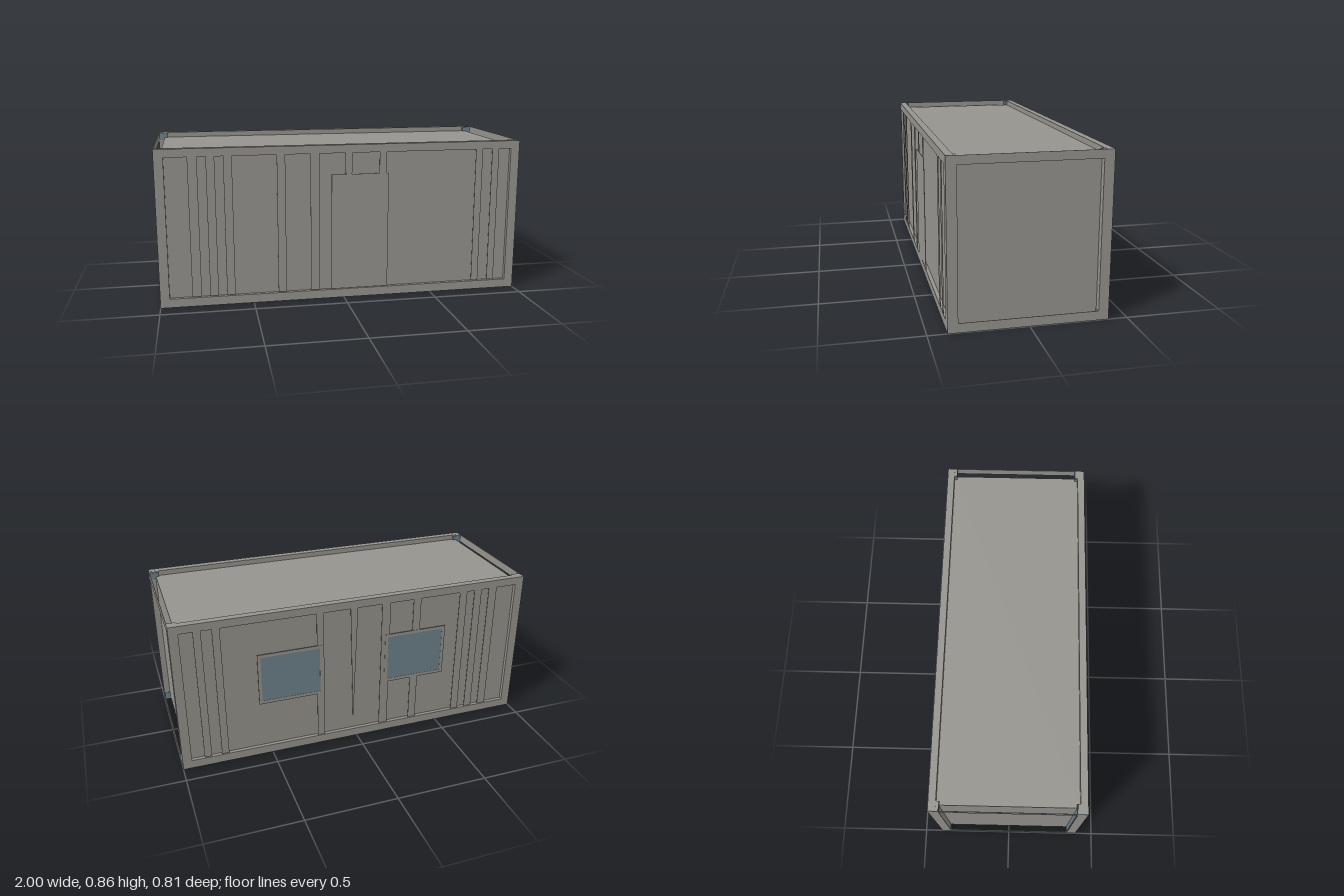
import * as THREE from 'three';

export function createModel() {
  const root = new THREE.Group();
  root.name = 'containerCabin';
  const grey = new THREE.MeshStandardMaterial({ color: 0x97958f });
  grey.name = 'warm grey';
  const blue = new THREE.MeshStandardMaterial({ color: 0x70838e });
  blue.name = 'glass blue';

  const H = 0.855, Z = 0.402, WALL_X = 0.965, RAIL_Z = 0.363, WALL_Z = 0.382;
  const LOW = 0.048, HIGH = 0.811, SHEET = 0.002;

  const add = (name, geometry, material) => {
    const mesh = new THREE.Mesh(geometry, material);
    mesh.name = name;
    root.add(mesh);
    return mesh;
  };
  // Box given by its minimum and maximum on each axis
  const box = (name, x0, x1, y0, y1, z0, z1, material = grey) => {
    const mesh = add(name, new THREE.BoxGeometry(x1 - x0, y1 - y0, z1 - z0), material);
    mesh.position.set((x0 + x1) / 2, (y0 + y1) / 2, (z0 + z1) / 2);
    return mesh;
  };
  // Rectangular ring extruded along z, from outer and inner rectangles [x0, x1, y0, y1]
  const ring = (outer, inner, depth) => {
    const corners = ([a, b, c, d]) => [[a, c], [b, c], [b, d], [a, d]].map(p => new THREE.Vector2(...p));
    const shape = new THREE.Shape(corners(outer));
    shape.holes.push(new THREE.Path(corners(inner)));
    return new THREE.ExtrudeGeometry(shape, { depth, bevelEnabled: false });
  };
  // Mirror an interval to the negative side
  const span = (s, a, b) => s > 0 ? [a, b] : [-b, -a];

  // Inner shell: end walls, roof and floor
  box('cabinShell', -WALL_X, WALL_X, 0.034, 0.826, -RAIL_Z, RAIL_Z);

  // Thin flush ribs in front of the recessed walls, same on both long sides
  const ribs = [[-0.83, -0.78], [-0.735, -0.69], [-0.645, -0.6], [-0.365, -0.32],
    [-0.185, -0.135], [0.195, 0.235], [0.745, 0.785], [0.84, 0.88]];

  for (const s of [-1, 1]) {
    // Long side frame and recessed wall
    const frame = add('sideFrame', ring([-1, 1, 0, H], [-0.95, 0.95, LOW, HIGH], Z - RAIL_Z), grey);
    frame.position.z = s > 0 ? RAIL_Z : -Z;
    box('sideWall', -0.95, 0.95, LOW, HIGH, ...span(s, RAIL_Z, WALL_Z));

    const sheetZ = span(s, Z - SHEET, Z);
    for (const [a, b] of ribs) box('wallRib', a, b, 0.053, HIGH, ...sheetZ);

    // Tapered rib near the middle
    const wedge = new THREE.Shape([[0.024, 0.1], [0.046, HIGH], [0.004, HIGH]]
      .map(p => new THREE.Vector2(...p)));
    const taper = add('taperedRib',
      new THREE.ExtrudeGeometry(wedge, { depth: SHEET, bevelEnabled: false }), grey);
    taper.position.z = sheetZ[0];

    // Thin end frame, open behind, and the sill under the end wall
    const endFrame = add('endFrame', ring([-Z, Z, 0, H], [-0.35, 0.35, LOW, HIGH], 0.003), grey);
    endFrame.rotation.y = Math.PI / 2;
    endFrame.position.x = s > 0 ? 0.997 : -1;
    box('endSill', ...span(s, WALL_X - 0.006, WALL_X), 0.02, 0.04, -0.345, 0.345);
  }

  // Corner posts with blue inner faces
  for (const sx of [-1, 1]) for (const sz of [-1, 1]) {
    box('cornerPost', ...span(sx, 0.95, 0.999), 0.001, H - 0.001, ...span(sz, 0.35, 0.4));
    const fullHeight = sx < 0 && sz > 0;
    const pieces = fullHeight ? [[0.004, H - 0.005]] : [[0.004, LOW], [HIGH, H - 0.005]];
    for (const [a, b] of pieces) {
      box('postLining', ...span(sx, 0.95, 0.997), a, b, ...span(sz, 0.347, 0.35), blue);
      box('postLiningEnd', ...span(sx, 0.947, 0.95), a, b, ...span(sz, 0.347, 0.366), blue);
    }
  }

  // Door sheet on the front, just proud of the ribs
  box('door', -0.07, 0.247, 0.052, 0.695, Z - SHEET, Z + 0.001);

  // Two thin windows on the back
  for (const x of [-0.34, 0.382]) {
    const w = 0.181, y0 = 0.325, y1 = 0.624, t = 0.018;
    const frame = add('windowFrame',
      ring([x - w, x + w, y0, y1], [x - w + t, x + w - t, y0 + t, y1 - t], 0.004), grey);
    frame.position.z = -Z - 0.002;
    box('windowGlass', x - w + t, x + w - t, y0 + t, y1 - t, -Z - 0.001, -Z + SHEET, blue);
  }
  return root;
}
